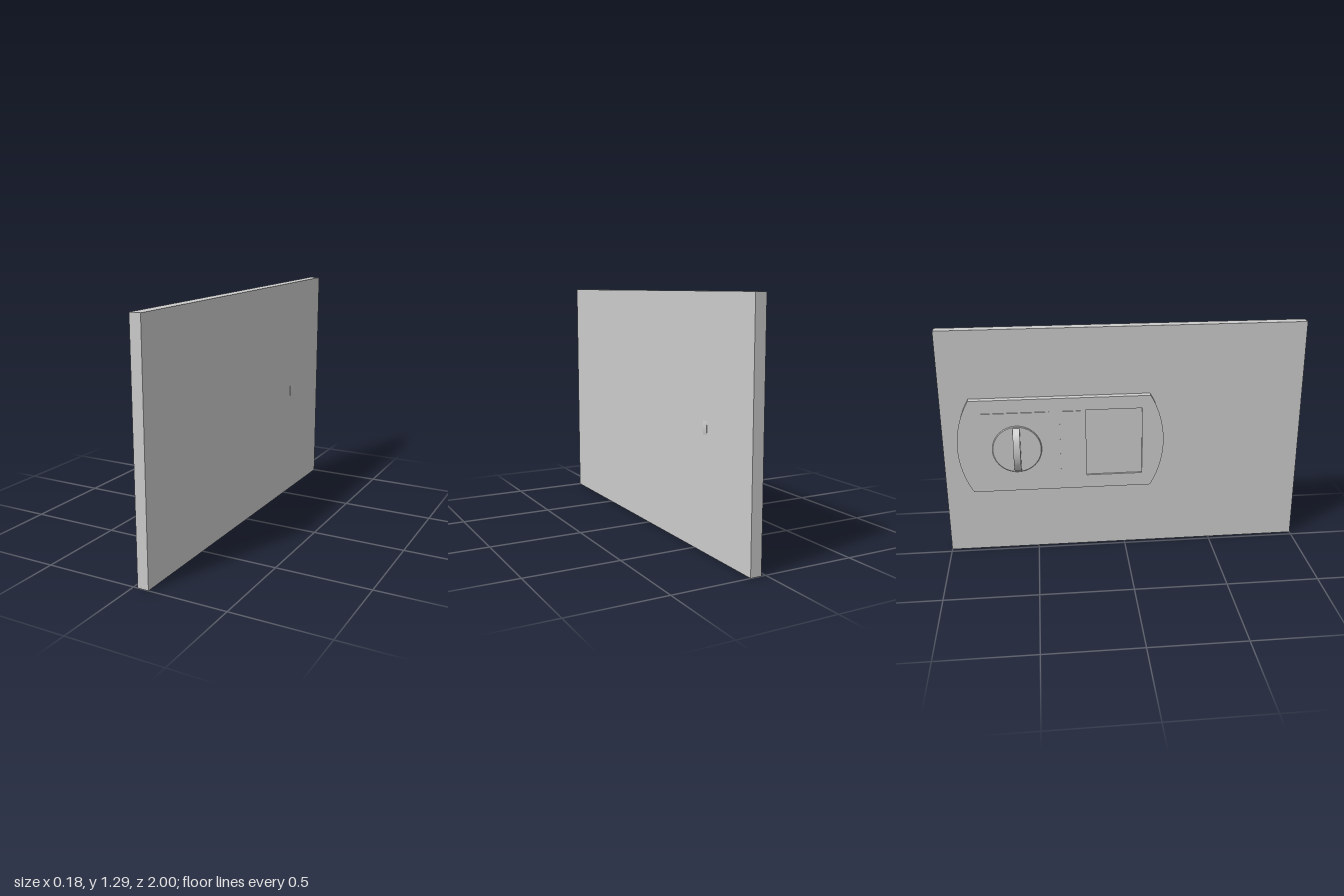
import * as THREE from 'three';
import { toCreasedNormals } from 'three/addons/utils/BufferGeometryUtils.js';

const material = new THREE.MeshStandardMaterial({ color: 0xcccccc });

export function createModel() {
  const group = new THREE.Group();
  const add = (name, geometry) => {
    const mesh = new THREE.Mesh(geometry, material);
    mesh.name = name;
    group.add(mesh);
  };

  // Box given by its limits on each axis
  const block = (name, x0, x1, y0, y1, z0, z1) =>
    add(name, new THREE.BoxGeometry(x1 - x0, y1 - y0, z1 - z0)
      .translate((x0 + x1) / 2, (y0 + y1) / 2, (z0 + z1) / 2));

  // Shape drawn in (z, y), extruded from xStart towards -x
  const slab = (name, shape, xStart, depth) => {
    const g = new THREE.ExtrudeGeometry(shape, { depth, bevelEnabled: false, curveSegments: 32 });
    g.rotateY(-Math.PI / 2).translate(xStart, 0, 0);
    add(name, toCreasedNormals(g, 0.5));
  };

  // Door panel
  block('doorPanel', 0.024, 0.084, 0, 1.293, -1, 1);

  // Backplate outline: straight top and bottom, shallow arcs at both ends
  const plateShape = () => {
    const z0 = -0.845, z1 = 0.142, y = 0.647, half = 0.268, bulge = 0.074;
    const r = (half * half + bulge * bulge) / (2 * bulge);
    const a = Math.asin(half / r);
    const s = new THREE.Shape();
    s.moveTo(z0, y - half);
    s.absarc(z1 + bulge - r, y, r, -a, a, false);
    s.absarc(z0 - bulge + r, y, r, Math.PI - a, Math.PI + a, false);
    return s;
  };
  slab('backplate', plateShape(), 0.024, 0.027);

  // Face layer with the rectangular recess
  const face = plateShape();
  face.holes.push(new THREE.Path([
    [-0.215, 0.455], [-0.215, 0.843], [0.095, 0.843], [0.095, 0.455],
  ].map(([z, y]) => new THREE.Vector2(z, y))));
  slab('backplateFace', face, -0.003, 0.012);

  // Raised panels
  block('knobPanel', -0.021, -0.014, 0.453, 0.841, -0.78, -0.415);
  block('narrowPanel', -0.021, -0.014, 0.453, 0.841, -0.358, -0.243);

  // Knob disc with a softened rim
  const discProfile = [[0, -0.004], [0.135, -0.004], [0.135, 0.006], [0.131, 0.010], [0, 0.010]]
    .map(([r, h]) => new THREE.Vector2(r, h));
  add('knobDisc', toCreasedNormals(
    new THREE.LatheGeometry(discProfile, 64).rotateZ(Math.PI / 2).translate(-0.02, 0.632, -0.595), 0.5));

  // Thumb turn: an upright elliptical fin running through to the far side of the door
  const fin = new THREE.Shape();
  fin.absellipse(-0.0015, 0.632, 0.0885, 0.132, 0, Math.PI * 2, false, 0);
  add('thumbTurn', toCreasedNormals(
    new THREE.ExtrudeGeometry(fin, { depth: 0.038, bevelEnabled: false, curveSegments: 48 })
      .translate(0, 0, -0.614), 0.5));

  return group;
}
